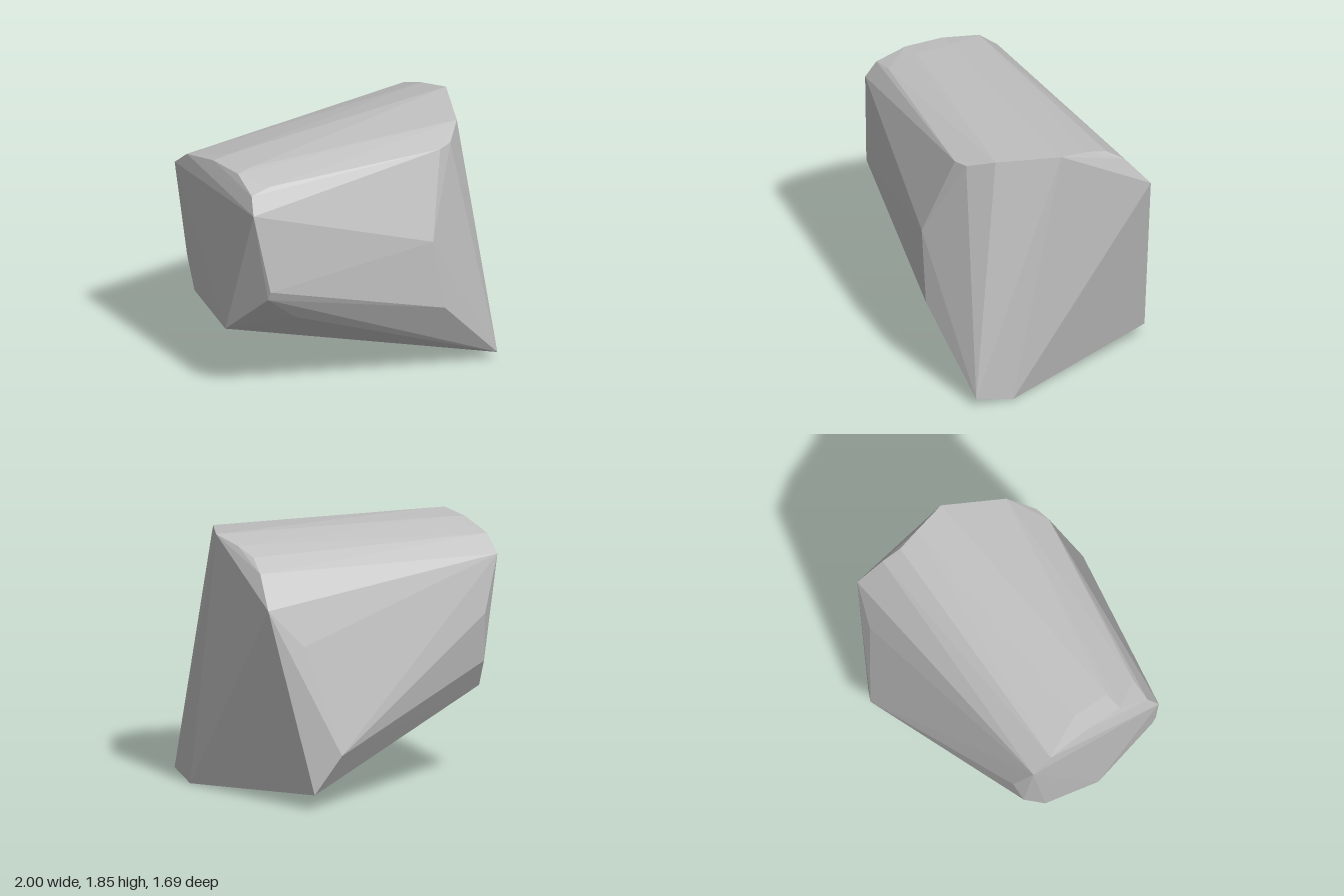
import * as THREE from 'three';
import { ConvexGeometry } from 'three/addons/geometries/ConvexGeometry.js';

// Corners of the faceted stone, grouped by region: [x, y, z]
const wideEnd = [
  [0.995, 1.845, 0.08], [0.95, 1.80, -0.15], [0.92, 1.745, -0.315],
  [0.94, 1.655, -0.45], [0.98, 1.43, -0.635],
  [0.96, 0.06, 0.735], [0.99, 0, 0.46],
];
const frontFace = [
  [0.79, 1.81, 0.49], [0.63, 1.74, 0.635], [0.52, 1.73, 0.665],
  [0.34, 1.13, 0.83], [0.43, 0.6, 0.845], [-0.62, 0.70, 0.51],
];
const backFace = [
  [0.73, 1.16, -0.70], [0.51, 0.39, -0.845], [0.675, 0.11, -0.75],
  [-0.80, 1.21, -0.54],
];
const narrowEnd = [
  [-1, 1.6, 0.55], [-0.965, 1.72, 0.48], [-0.93, 1.80, 0.27],
  [-0.93, 1.79, -0.02], [-0.94, 1.724, -0.32], [-0.94, 1.605, -0.465],
  [-0.83, 0.855, -0.47], [-0.875, 0.65, -0.32], [-0.915, 0.53, 0.10],
  [-0.89, 0.93, 0.57], [-0.89, 1.0, 0.60],
];
const topRidge = [
  [-0.8, 1.745, 0.475], [-0.8, 1.81, 0.25], [-0.8, 1.80, -0.02],
];

export function createModel() {
  const stoneGrey = new THREE.MeshStandardMaterial({ color: 0xc0c0c0 });
  stoneGrey.name = 'stoneGrey';

  // The stone is the convex skin around its corners, with flat facets
  const corners = [wideEnd, frontFace, backFace, narrowEnd, topRidge]
    .flat()
    .map((p) => new THREE.Vector3(...p));
  const stone = new THREE.Mesh(new ConvexGeometry(corners), stoneGrey);
  stone.name = 'stone';

  const group = new THREE.Group();
  group.name = 'facetedStone';
  group.add(stone);
  return group;
}
